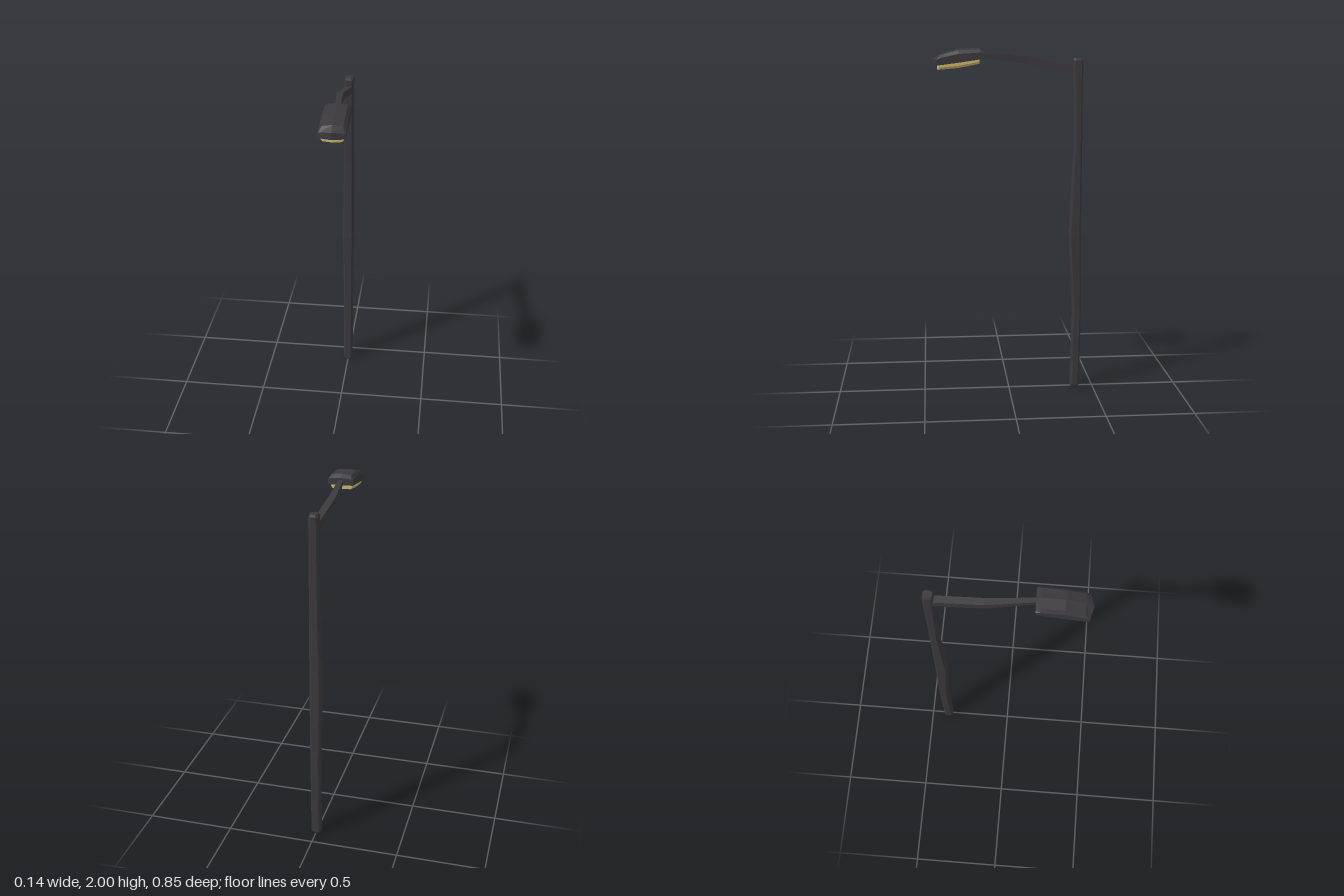
import * as THREE from 'three';

const darkMetal = new THREE.MeshStandardMaterial({ color: 0x3a383c, flatShading: true });
const warmGlass = new THREE.MeshStandardMaterial({ color: 0xcdb86e, flatShading: true });

// Skins a list of equal-length rings (right-handed about the travel direction) and caps both ends.
function loft(name, rings, material) {
  const n = rings[0].length;
  const index = [];
  for (let r = 0; r < rings.length - 1; r++) {
    for (let i = 0; i < n; i++) {
      const a = r * n + i, b = r * n + (i + 1) % n;
      index.push(a, b, b + n, a, b + n, a + n);
    }
  }
  const last = (rings.length - 1) * n;
  for (let i = 1; i < n - 1; i++) {
    index.push(0, i + 1, i, last, last + i, last + i + 1);
  }
  const geometry = new THREE.BufferGeometry();
  geometry.setAttribute('position', new THREE.Float32BufferAttribute(rings.flat(2), 3));
  geometry.setIndex(index);
  const flat = geometry.toNonIndexed();
  flat.computeVertexNormals();
  const mesh = new THREE.Mesh(flat, material);
  mesh.name = name;
  return mesh;
}

// Square with cut corners, lying flat at height y
function poleRing([y, x0, x1, z0, z1, cut = 0.01]) {
  return [
    [x1, y, z1 - cut], [x1, y, z0 + cut], [x1 - cut, y, z0], [x0 + cut, y, z0],
    [x0, y, z0 + cut], [x0, y, z1 - cut], [x0 + cut, y, z1], [x1 - cut, y, z1],
  ];
}

// Upright rectangle across the arm
function armRing([z, x0, x1, y0, y1]) {
  return [[x0, y0, z], [x1, y0, z], [x1, y1, z], [x0, y1, z]];
}

// Section of the lamp housing; the centre line is pushed along z by bulge
function headRing([z, bottom, side, shoulder, crown, half, bulge]) {
  const w = 0.07;
  return [
    [0, bottom, z + bulge], [w, bottom, z], [w, side, z], [half, shoulder, z],
    [0, crown, z + bulge],
    [-half, shoulder, z], [-w, side, z], [-w, bottom, z],
  ];
}

// Section of the lens, tapering downward
function lensRing([z, bottom, top, bulge]) {
  return [
    [0, bottom, z + bulge], [0.05, bottom, z], [0.06, bottom + 0.012, z], [0.06, top, z],
    [0, top, z + bulge],
    [-0.06, top, z], [-0.06, bottom + 0.012, z], [-0.05, bottom, z],
  ];
}

export function createModel() {
  const group = new THREE.Group();
  group.name = 'streetLamp';

  // Slightly crooked pole: height, x range, z range
  group.add(loft('pole', [
    [0, -0.022, 0.022, -0.415, -0.372],
    [0.012, -0.028, 0.027, -0.421, -0.367],
    [0.48, -0.028, 0.027, -0.427, -0.376],
    [0.92, -0.035, 0.03, -0.42, -0.352],
    [1.42, -0.029, 0.027, -0.42, -0.373],
    [1.93, -0.027, 0.025, -0.421, -0.365],
    [1.943, -0.022, 0.02, -0.416, -0.37],
  ].map(poleRing), darkMetal));

  // Bent arm reaching forward
  group.add(loft('arm', [
    [-0.38, -0.023, 0.017, 1.85, 1.893],
    [-0.11, -0.042, -0.003, 1.91, 1.953],
    [0.15, -0.014, 0.011, 1.944, 1.971],
  ].map(armRing), darkMetal));

  // Lamp housing with a bevelled, drooping top
  group.add(loft('lampHousing', [
    [0.142, 1.941, 1.972, 1.976, 1.981, 0.062, -0.002],
    [0.165, 1.938, 1.975, 1.993, 2, 0.055, 0],
    [0.285, 1.92, 1.968, 1.988, 1.995, 0.055, 0],
    [0.385, 1.907, 1.945, 1.96, 1.968, 0.055, 0],
    [0.41, 1.904, 1.932, 1.936, 1.942, 0.062, 0.017],
  ].map(headRing), darkMetal));

  // Glowing lens below the housing
  group.add(loft('lens', [
    [0.167, 1.913, 1.945, 0],
    [0.285, 1.891, 1.928, 0],
    [0.392, 1.881, 1.912, 0.01],
  ].map(lensRing), warmGlass));

  return group;
}
